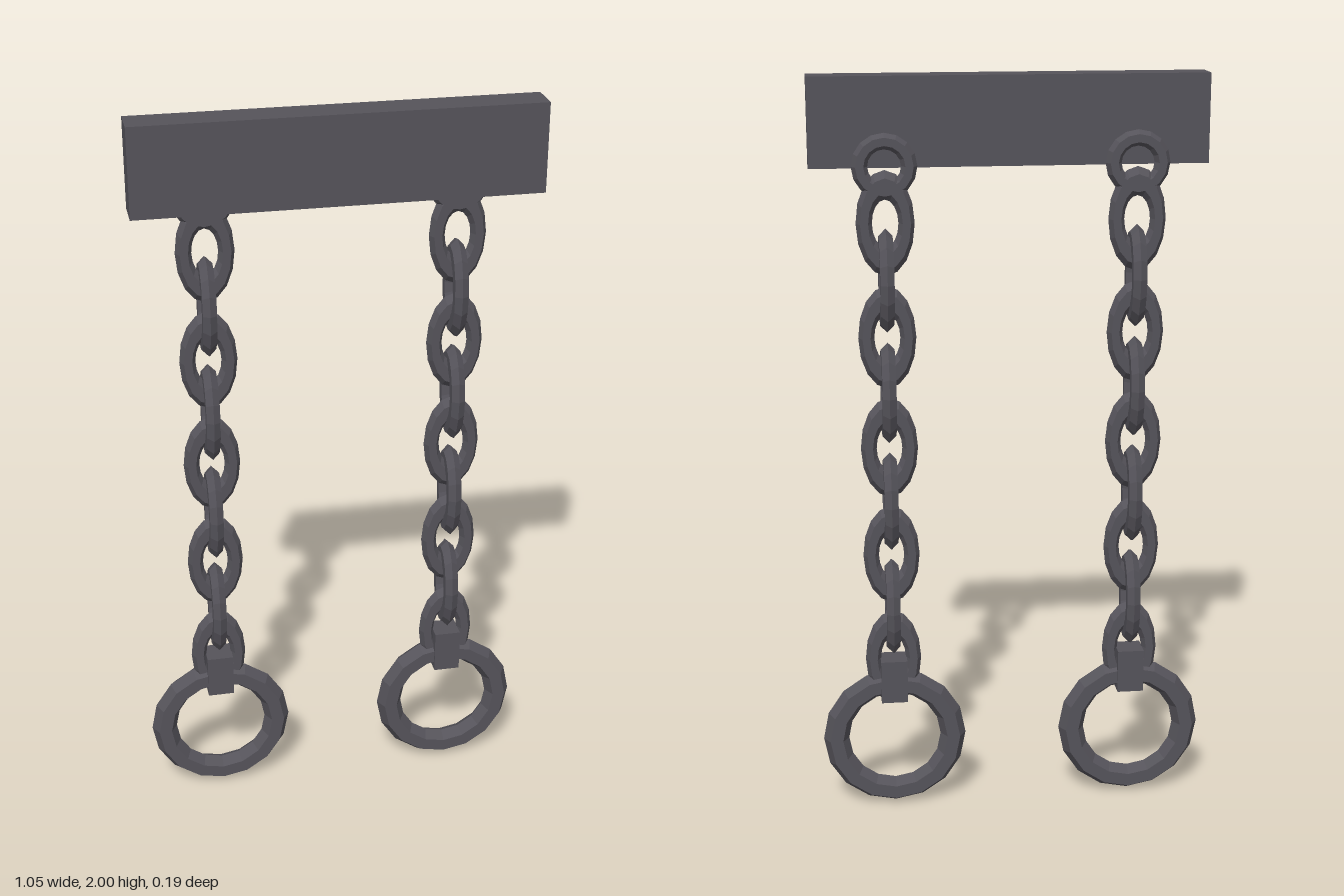
import * as THREE from 'three';

const iron = new THREE.MeshStandardMaterial({ color: 0x55535a, flatShading: true });
iron.name = 'dark iron';

const CHAIN_Z = -0.021;

function part(name, geometry, x, y, z) {
  const mesh = new THREE.Mesh(geometry, iron);
  mesh.name = name;
  mesh.position.set(x, y, z);
  return mesh;
}

// One hanging chain: eye ring, interlocking links, clasp and hand ring
function makeChain(name) {
  const chain = new THREE.Group();
  chain.name = name;
  chain.add(part('eyeRing', new THREE.TorusGeometry(0.064, 0.021, 6, 16), 0, 1.776, 0));

  const linkGeometry = new THREE.TorusGeometry(0.055, 0.021, 6, 16);
  linkGeometry.scale(1, 1.8, 1);
  for (let i = 0; i < 9; i++) {
    const link = part('link', linkGeometry, 0, 1.63 - i * 0.15, 0);
    link.rotation.y = i % 2 ? Math.PI / 2 : 0;
    chain.add(link);
  }

  chain.add(part('clasp', new THREE.BoxGeometry(0.072, 0.12, 0.074), 0, 0.37, 0));
  chain.add(part('handRing', new THREE.TorusGeometry(0.162, 0.035, 6, 16), 0, 0.197, 0));
  return chain;
}

export function createModel() {
  const model = new THREE.Group();
  model.name = 'hangingRings';

  // Mounting bar in front of the eye rings
  model.add(part('mountingBar', new THREE.BoxGeometry(1.042, 0.232, 0.09), 0, 1.884, 0.053));

  for (const side of [1, -1]) {
    const chain = makeChain(side > 0 ? 'leftChain' : 'rightChain');
    chain.position.set(side * 0.328, 0, CHAIN_Z);
    model.add(chain);
  }
  return model;
}
